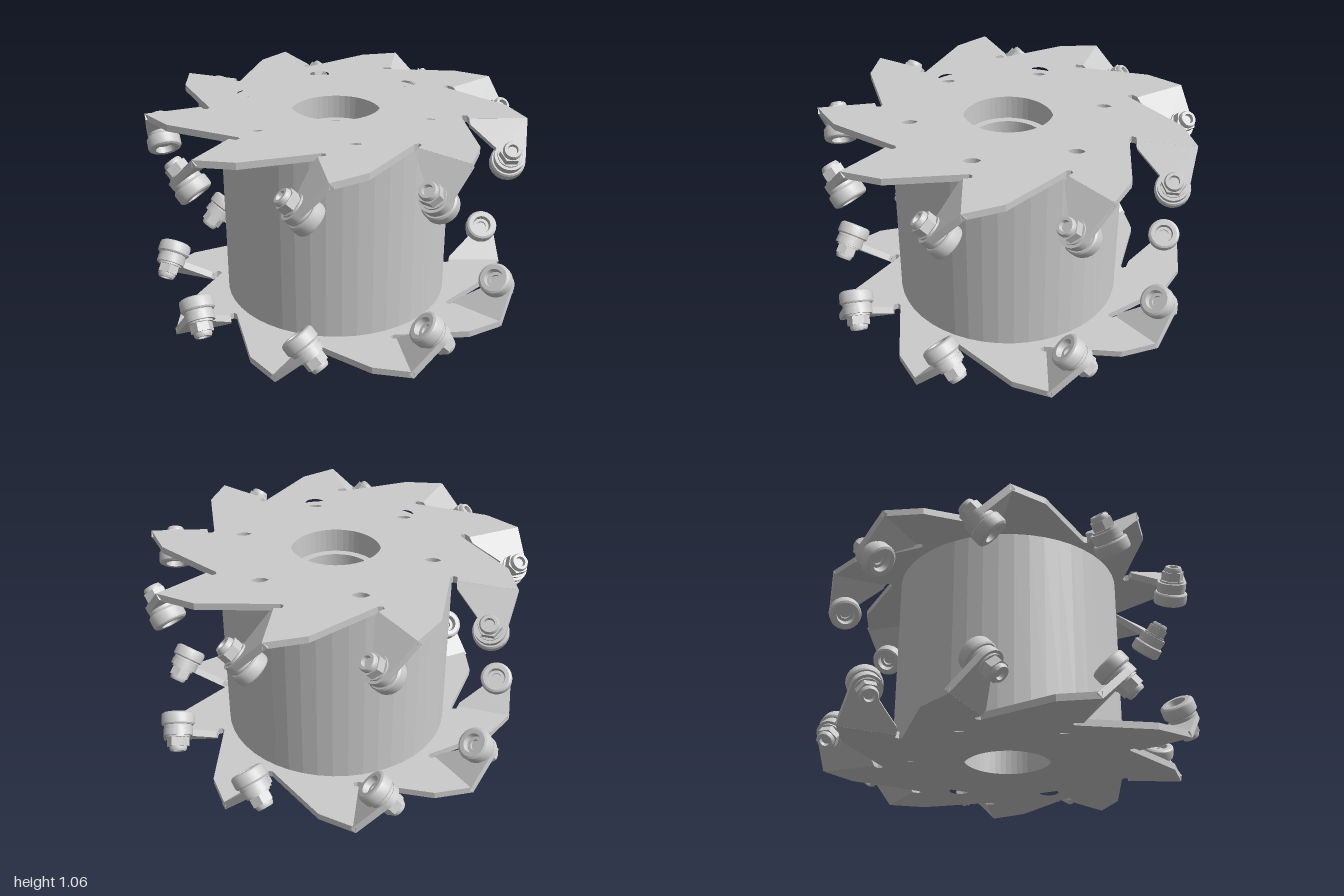
import * as THREE from 'three';
import { toCreasedNormals } from 'three/addons/utils/BufferGeometryUtils.js';

const TEETH = 9;
const STEP = (Math.PI * 2) / TEETH;
const THICK = 0.035;   // plate thickness
const HEIGHT = 1.06;   // overall height
const material = new THREE.MeshStandardMaterial({ color: 0xcccccc });

function part(name, geometry) {
  const mesh = new THREE.Mesh(geometry, material);
  mesh.name = name;
  return mesh;
}

function circle(x, y, r) {
  return new THREE.Path().absarc(x, y, r, 0, Math.PI * 2, true);
}

// Centre bore and the six bolt holes shared by drum and plates
function addHoles(shape) {
  shape.holes.push(circle(0, 0, 0.23));
  for (let i = 0; i < 6; i++) {
    const a = (i * Math.PI) / 3;
    shape.holes.push(circle(0.5 * Math.cos(a), 0.5 * Math.sin(a), 0.053));
  }
}

// Extrudes a plan shape (x, z) downward from y = 0
function slab(shape, depth, curveSegments) {
  const g = new THREE.ExtrudeGeometry(shape, { depth, bevelEnabled: false, curveSegments });
  return g.rotateX(Math.PI / 2);
}

// Turned part around the local z axis, profile as [radius, z]
function turned(profile, segments = 24) {
  const g = new THREE.LatheGeometry(profile.map(([r, z]) => new THREE.Vector2(r, z)), segments);
  return toCreasedNormals(g.rotateX(Math.PI / 2), 0.5);
}

// Flat cutting plate: one saw-tooth outline repeated around the centre
function plateGeometry() {
  const tooth = [
    [-0.11, 0.654], [-0.07, 0.642], [-0.05, 0.65], [-0.052, 0.672],
    [-0.088, 0.684], [-0.038, 0.968], [0.137, 0.862],
  ];
  const points = [];
  for (let k = 0; k < TEETH; k++) {
    const c = Math.cos(-k * STEP), s = Math.sin(-k * STEP);
    for (const [x, z] of tooth) points.push(new THREE.Vector2(x * c - z * s, x * s + z * c));
  }
  const shape = new THREE.Shape(points);
  addHoles(shape);
  return slab(shape, THICK, 20);
}

// Bent tongue: x runs down the slope, y along the fold, z out of its face
const REACH = 0.2;
function tongueGeometry() {
  const shape = new THREE.Shape();
  shape.moveTo(0, 0.1);
  shape.lineTo(0, -0.19);
  shape.lineTo(0.035, -0.185);
  shape.lineTo(REACH - 0.04, -0.065);
  shape.absarc(REACH, 0, 0.076, -2.1, 1.45, false);
  shape.lineTo(0, 0.1);
  const g = new THREE.ExtrudeGeometry(shape, { depth: THICK, bevelEnabled: false, curveSegments: 12 });
  return toCreasedNormals(g.translate(0, 0, -THICK), 0.5);
}

const tongueGeo = tongueGeometry();

// Cup-shaped cutter, open on the side away from the tongue
const cutterGeo = turned([
  [0, -0.075], [0.028, -0.075], [0.028, -0.09], [0.045, -0.09], [0.05, -0.122],
  [0.072, -0.122], [0.083, -0.116], [0.087, -0.106], [0.087, -0.062], [0.08, -0.054], [0, -0.054],
]);
const collarGeo = turned([[0, -0.056], [0.07, -0.056], [0.074, -0.05], [0.074, -THICK], [0, -THICK]]);
const washerGeo = turned([[0, 0], [0.062, 0], [0.062, 0.01], [0, 0.01]]);
const nutGeo = toCreasedNormals(
  new THREE.CylinderGeometry(0.058, 0.058, 0.046, 6).rotateX(Math.PI / 2).translate(0, 0, 0.033), 0.3);
// Hollow shank end rising above the nut
const shankGeo = turned([
  [0.046, 0.05], [0.046, 0.068], [0.04, 0.08], [0.026, 0.08], [0.023, 0.06], [0, 0.06],
]);

function makeTooth() {
  const tooth = new THREE.Group();
  tooth.name = 'cutterTooth';
  // Frame on the fold line: down-slope direction, fold direction, up
  const a = THREE.MathUtils.degToRad(170);
  const down = new THREE.Vector3(Math.cos(a), 0, Math.sin(a));
  const fold = new THREE.Vector3(Math.sin(a), 0, -Math.cos(a));
  const basis = new THREE.Matrix4().makeBasis(down, fold, new THREE.Vector3(0, 1, 0));
  tooth.quaternion.setFromRotationMatrix(basis);
  tooth.position.set(-0.055, 0, 0.87);

  const bent = new THREE.Group();
  bent.name = 'bentArm';
  bent.rotation.y = Math.PI / 4;
  bent.add(part('tongue', tongueGeo));
  const bolt = new THREE.Group();
  bolt.name = 'boltedCutter';
  bolt.position.x = REACH;
  bolt.add(
    part('cutter', cutterGeo), part('collar', collarGeo), part('washer', washerGeo),
    part('nut', nutGeo), part('shankEnd', shankGeo),
  );
  bent.add(bolt);
  tooth.add(bent);
  return tooth;
}

function makePlate(name) {
  const plate = new THREE.Group();
  plate.name = name;
  plate.add(part('plate', plateGeometry()));
  for (let k = 0; k < TEETH; k++) {
    const spoke = new THREE.Group();
    spoke.name = 'toothPosition';
    spoke.rotation.y = k * STEP;
    spoke.add(makeTooth());
    plate.add(spoke);
  }
  return plate;
}

export function createModel() {
  const model = new THREE.Group();
  model.name = 'cutterDrum';
  const body = new THREE.Group();
  body.name = 'body';
  body.position.x = 0.01;
  model.add(body);

  // Drum between the plates
  const drumShape = new THREE.Shape().absarc(0, 0, 0.595, 0, Math.PI * 2, false);
  addHoles(drumShape);
  const drum = part('drum', slab(drumShape, HEIGHT - 2 * THICK, 24));
  drum.position.y = HEIGHT - THICK;
  body.add(drum);

  // Narrower sleeve inside the bore
  const sleeve = part('boreSleeve', turned(
    [[0.19, 0.3], [0.232, 0.3], [0.232, 0.9], [0.19, 0.9], [0.19, 0.3]], 40).rotateX(-Math.PI / 2));
  sleeve.geometry.translate(0, 0, 0);
  body.add(sleeve);

  // Upper plate, and the same plate turned over for the bottom
  const top = makePlate('upperPlate');
  top.position.y = HEIGHT;
  const bottom = makePlate('lowerPlate');
  bottom.rotation.x = Math.PI;
  body.add(top, bottom);
  return model;
}
